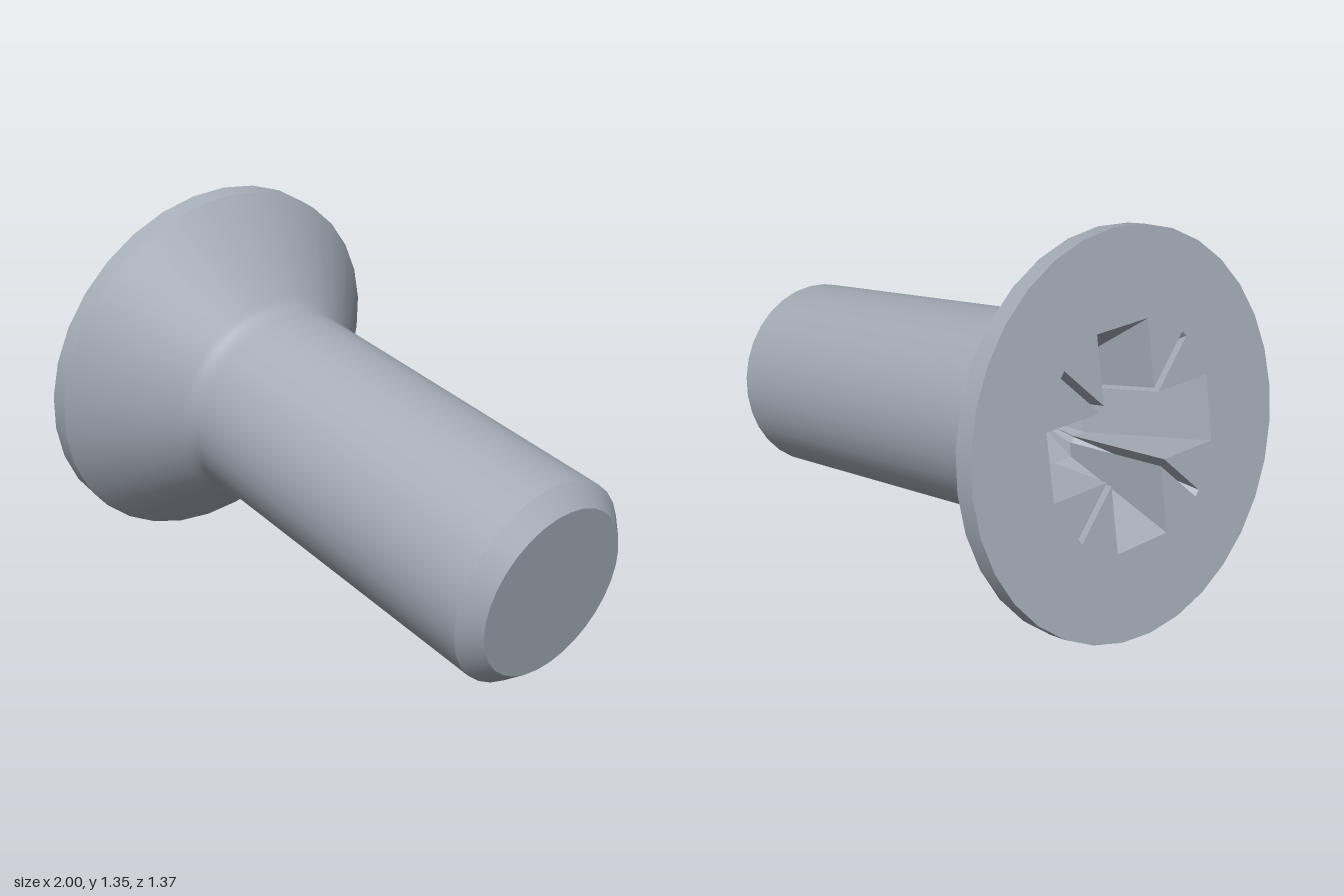
import * as THREE from 'three';

const SIDES = 32;

// Ring of a cross with four thin diagonal slits: arm reach, arm half width, slit reach
function crossRing(reach, half, slit) {
  const h = 0.013, c = Math.SQRT1_2, k = h / c;
  const quarter = [
    [reach, -half], [reach, half], [half + k, half],
    [(slit + h) * c, (slit - h) * c], [(slit - h) * c, (slit + h) * c], [half, half + k],
  ];
  const ring = [];
  for (let q = 0; q < 4; q++) {
    const cs = Math.round(Math.cos(q * Math.PI / 2)), sn = Math.round(Math.sin(q * Math.PI / 2));
    for (const [x, z] of quarter) ring.push(new THREE.Vector2(x * cs - z * sn, x * sn + z * cs));
  }
  return ring;
}

// Tapered recess walls between two rings, closed by a shallow conical floor
function recessGeometry(top, bottom, depth, tipDepth) {
  const pos = [];
  const n = top.length;
  const put = (p, y) => pos.push(p.x, y, p.y);
  for (let i = 0; i < n; i++) {
    const j = (i + 1) % n;
    put(top[i], 0); put(bottom[i], -depth); put(top[j], 0);
    put(top[j], 0); put(bottom[i], -depth); put(bottom[j], -depth);
    put(bottom[j], -depth); put(bottom[i], -depth); pos.push(0, -tipDepth, 0);
  }
  const geo = new THREE.BufferGeometry();
  geo.setAttribute('position', new THREE.Float32BufferAttribute(pos, 3));
  geo.computeVertexNormals();
  return geo;
}

export function createModel() {
  const model = new THREE.Group();
  model.name = 'countersunkScrew';
  const steel = new THREE.MeshStandardMaterial({ color: 0xa5adb8 });
  steel.name = 'steel grey';

  // The screw is built along y, head face at y = 0, then tilted into place
  const screw = new THREE.Group();
  screw.name = 'screw';
  model.add(screw);
  const add = (name, geo) => {
    const mesh = new THREE.Mesh(geo, steel);
    mesh.name = name;
    screw.add(mesh);
  };
  const turned = (name, points) =>
    add(name, new THREE.LatheGeometry(points.map(([r, y]) => new THREE.Vector2(r, y)), SIDES));

  // Turned body, split where edges are sharp
  turned('headRim', [[0.68, -0.07], [0.68, 0]]);
  turned('headConeAndShaft', [
    [0.36, -1.735], [0.36, -0.43], [0.362, -0.405], [0.37, -0.382], [0.39, -0.358], [0.68, -0.07],
  ]);
  turned('tipChamfer', [[0.298, -1.8], [0.36, -1.735]]);
  const tip = new THREE.CircleGeometry(0.298, SIDES);
  tip.rotateX(Math.PI / 2);
  add('tipFace', tip);
  screw.children.at(-1).position.y = -1.8;

  // Head face with the drive opening
  const opening = crossRing(0.365, 0.115, 0.39);
  const disc = [];
  for (let i = 0; i < SIDES; i++) {
    const a = i / SIDES * Math.PI * 2;
    disc.push(new THREE.Vector2(0.68 * Math.cos(a), 0.68 * Math.sin(a)));
  }
  const faceShape = new THREE.Shape(disc);
  faceShape.holes.push(new THREE.Path(opening));
  const face = new THREE.ShapeGeometry(faceShape);
  face.rotateX(-Math.PI / 2);
  add('headFace', face);

  // Drive recess
  add('driveRecess', recessGeometry(opening, crossRing(0.16, 0.09, 0.15), 0.4, 0.48));

  // Tilt: the tip points right, slightly down and forward
  const up = new THREE.Vector3(-1, 0.19, -0.212).normalize();
  const side = new THREE.Vector3(-0.212, 0, 1).normalize();
  const third = new THREE.Vector3().crossVectors(side, up);
  screw.quaternion.setFromRotationMatrix(new THREE.Matrix4().makeBasis(side, up, third));
  screw.position.set(-0.813, 0.68, -0.019);
  return model;
}
